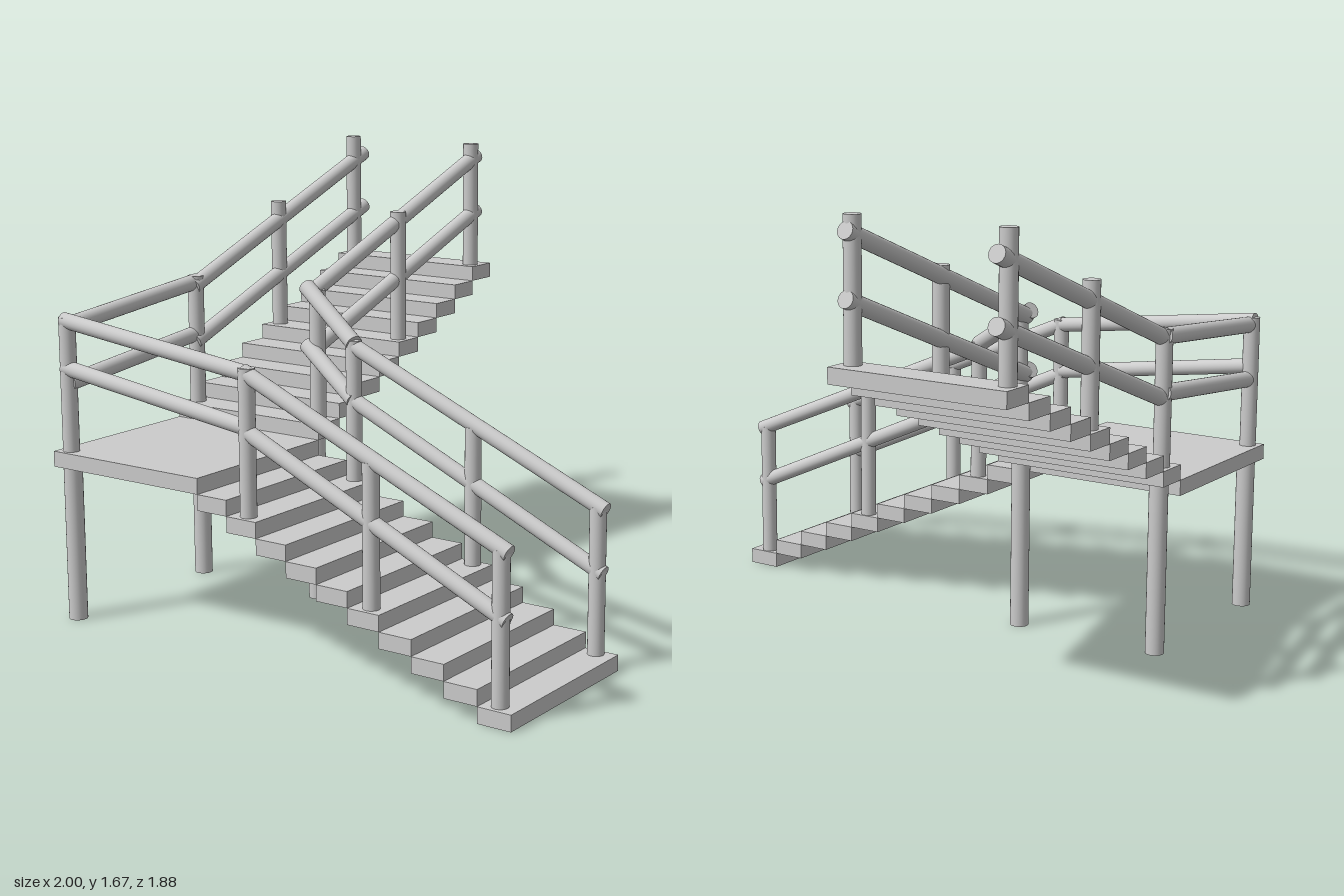
import * as THREE from 'three';

const material = new THREE.MeshStandardMaterial({ color: 0xcccccc });
const RISE = 0.0586;

export function createModel() {
  const model = new THREE.Group();

  const section = (name) => {
    const group = new THREE.Group();
    group.name = name;
    model.add(group);
    return group;
  };

  // Box given by its two opposite corners
  const slab = (parent, name, min, max) => {
    const size = max.map((v, i) => v - min[i]);
    const mesh = new THREE.Mesh(new THREE.BoxGeometry(...size), material);
    mesh.position.set(...min.map((v, i) => v + size[i] / 2));
    mesh.name = name;
    parent.add(mesh);
  };

  // Round bar between two points
  const bar = (parent, name, from, to, radius = 0.031) => {
    const a = new THREE.Vector3(...from);
    const b = new THREE.Vector3(...to);
    const dir = b.clone().sub(a);
    const mesh = new THREE.Mesh(new THREE.CylinderGeometry(radius, radius, dir.length(), 24), material);
    mesh.position.copy(a).add(b).multiplyScalar(0.5);
    mesh.quaternion.setFromUnitVectors(new THREE.Vector3(0, 1, 0), dir.normalize());
    mesh.name = name;
    parent.add(mesh);
  };

  // Landing and its three ground legs
  const landing = section('landing');
  slab(landing, 'platform', [-1, 10 * RISE, 0.243], [-0.305, 11 * RISE, 0.937]);
  bar(landing, 'leg', [-0.947, 0, 0.893], [-0.947, 10.5 * RISE, 0.893], 0.035);
  for (const x of [-0.947, -0.365]) bar(landing, 'leg', [x, 0, 0.178], [x, 11.5 * RISE, 0.178], 0.035);

  // Lower flight climbs from +x to the landing
  const lower = section('lowerFlight');
  for (let i = 0; i < 10; i++) {
    const x = 1 - 0.1305 * i;
    slab(lower, 'tread', [x - 0.1305, i * RISE, 0.243], [x, (i + 1) * RISE, 0.937]);
  }

  // Upper flight climbs from the landing towards -z
  const upper = section('upperFlight');
  for (let i = 0; i < 9; i++) {
    const z = 0.243 - 0.1311 * i;
    slab(upper, 'tread', [-1, (11 + i) * RISE, z - 0.1311], [-0.305, (12 + i) * RISE, z]);
  }

  // Lower flight railings on both sides
  const lowerRailing = section('lowerRailing');
  for (const z of [0.278, 0.892]) {
    bar(lowerRailing, 'post', [-0.11, 9 * RISE, z], [-0.11, 1.055, z], 0.03);
    bar(lowerRailing, 'post', [0.416, 5 * RISE, z], [0.416, 0.8, z], 0.03);
    bar(lowerRailing, 'post', [0.93, RISE, z], [0.93, 0.59, z], 0.03);
    bar(lowerRailing, 'topRail', [-0.125, 1.04, z], [0.96, 0.578, z], 0.029);
    bar(lowerRailing, 'middleRail', [-0.125, 0.836, z], [0.955, 0.352, z], 0.029);
  }

  // Upper flight railings; the inner one sits slightly higher
  const upperRailing = section('upperRailing');
  for (const [x, startX, lift, endZ] of [[-0.955, -0.95, 0, -0.93], [-0.354, -0.372, 0.025, -0.9]]) {
    bar(upperRailing, 'post', [x, 12 * RISE, 0.178], [x, 1.205, 0.178]);
    bar(upperRailing, 'post', [x, 16 * RISE, -0.345], [x, 1.445, -0.345]);
    bar(upperRailing, 'post', [x, 20 * RISE, -0.861], [x, 1.672, -0.861]);
    bar(upperRailing, 'topRail', [startX, 1.165 + lift, 0.198], [x, 1.596 + lift, endZ]);
    bar(upperRailing, 'middleRail', [startX, 0.945 + lift, 0.198], [x, 1.37 + lift, endZ]);
  }

  // Landing railings: outer corner post, two long sides, short inner link
  const landingRailing = section('landingRailing');
  bar(landingRailing, 'cornerPost', [-0.952, 11 * RISE, 0.893], [-0.952, 1.145, 0.893]);
  bar(landingRailing, 'sideTopRail', [-0.945, 1.115, 0.9], [-0.962, 1.18, 0.165]);
  bar(landingRailing, 'sideMiddleRail', [-0.945, 0.902, 0.9], [-0.962, 0.975, 0.165]);
  bar(landingRailing, 'frontTopRail', [-0.965, 1.133, 0.897], [-0.115, 1.033, 0.888], 0.029);
  bar(landingRailing, 'frontMiddleRail', [-0.965, 0.957, 0.897], [-0.115, 0.842, 0.888], 0.029);
  bar(landingRailing, 'linkTopRail', [-0.395, 1.215, 0.19], [-0.105, 1.045, 0.285]);
  bar(landingRailing, 'linkMiddleRail', [-0.395, 0.992, 0.19], [-0.105, 0.832, 0.285]);

  return model;
}
